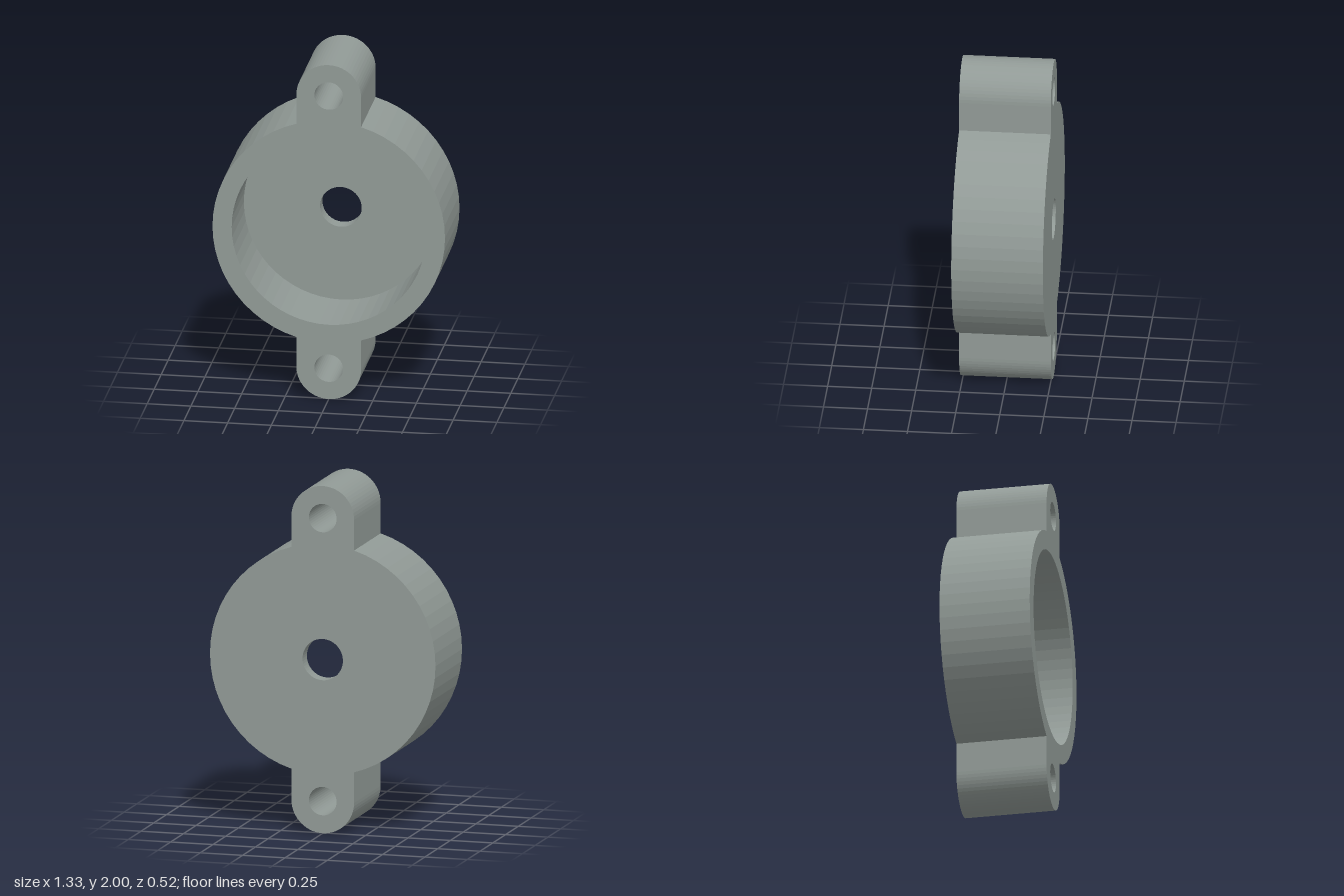
import * as THREE from 'three';

const R = 0.665, POCKET_R = 0.555, SHAFT_R = 0.119;   // round housing
const LUG_R = 0.185, SCREW_R = 0.082, LUG_Y = 0.815; // mounting lugs, measured from the centre
const FRONT = 0.26, BACK = -0.26, FLOOR = -0.175;

// Points along an arc from angle a to angle b, both ends included
function arc(cy, r, a, b, n) {
  return Array.from({ length: n + 1 }, (_, i) => {
    const t = a + (b - a) * i / n;
    return new THREE.Vector2(r * Math.cos(t), cy + r * Math.sin(t));
  });
}

// Closed circle, without repeating the first point
const circle = (cy, r, n) => arc(cy, r, 0, 2 * Math.PI, n).slice(0, -1);

// Wall along a closed loop; a counter-clockwise loop faces outward, a clockwise one inward
function wall(points, z0, z1) {
  const pos = [];
  points.forEach((a, i) => {
    const b = points[(i + 1) % points.length];
    pos.push(a.x, a.y, z0, b.x, b.y, z0, b.x, b.y, z1);
    pos.push(a.x, a.y, z0, b.x, b.y, z1, a.x, a.y, z1);
  });
  const g = new THREE.BufferGeometry();
  g.setAttribute('position', new THREE.Float32BufferAttribute(pos, 3));
  g.computeVertexNormals();
  return g;
}

// Flat face with holes at depth z, facing the front or the back
function face(outline, holes, z, facesBack = false) {
  const shape = new THREE.Shape(outline);
  shape.holes = holes.map((h) => new THREE.Path(h));
  const g = new THREE.ShapeGeometry(shape);
  if (facesBack) {
    const ix = g.index.array;
    for (let i = 0; i < ix.length; i += 3) [ix[i], ix[i + 1]] = [ix[i + 1], ix[i]];
    g.computeVertexNormals();
  }
  return g.translate(0, 0, z);
}

export function createModel() {
  const group = new THREE.Group();
  group.name = 'flangedHousing';
  const body = new THREE.Group();
  body.name = 'housing';
  body.position.y = 1;
  group.add(body);

  // Grey-green finish
  const material = new THREE.MeshStandardMaterial({ color: 0x919a96, flatShading: true });
  const add = (name, geometry) => {
    const mesh = new THREE.Mesh(geometry, material);
    mesh.name = name;
    body.add(mesh);
  };

  // Outline: round housing with a rounded lug above and below
  const half = Math.PI / 2 - Math.asin(LUG_R / R);
  const outline = [
    ...arc(0, R, -half, half, 24),
    ...arc(LUG_Y, LUG_R, 0, Math.PI, 30),
    ...arc(0, R, Math.PI - half, Math.PI + half, 24),
    ...arc(-LUG_Y, LUG_R, Math.PI, 2 * Math.PI, 30),
  ];
  const pocket = circle(0, POCKET_R, 60);
  const shaft = circle(0, SHAFT_R, 48);
  const screws = [LUG_Y, -LUG_Y].map((y) => circle(y, SCREW_R, 40));
  const inward = (loop) => [...loop].reverse();

  // Outer shell
  add('outerWall', wall(outline, BACK, FRONT));
  add('frontRim', face(outline, [pocket, ...screws], FRONT));
  add('backFace', face(outline, [shaft, ...screws], BACK, true));

  // Open pocket with a shaft hole through its floor
  add('pocketWall', wall(inward(pocket), FLOOR, FRONT));
  add('pocketFloor', face(pocket, [shaft], FLOOR));
  add('shaftHole', wall(inward(shaft), BACK, FLOOR));

  // Screw holes through the lugs
  screws.forEach((loop, i) => add(i ? 'lowerScrewHole' : 'upperScrewHole', wall(inward(loop), BACK, FRONT)));

  return group;
}
